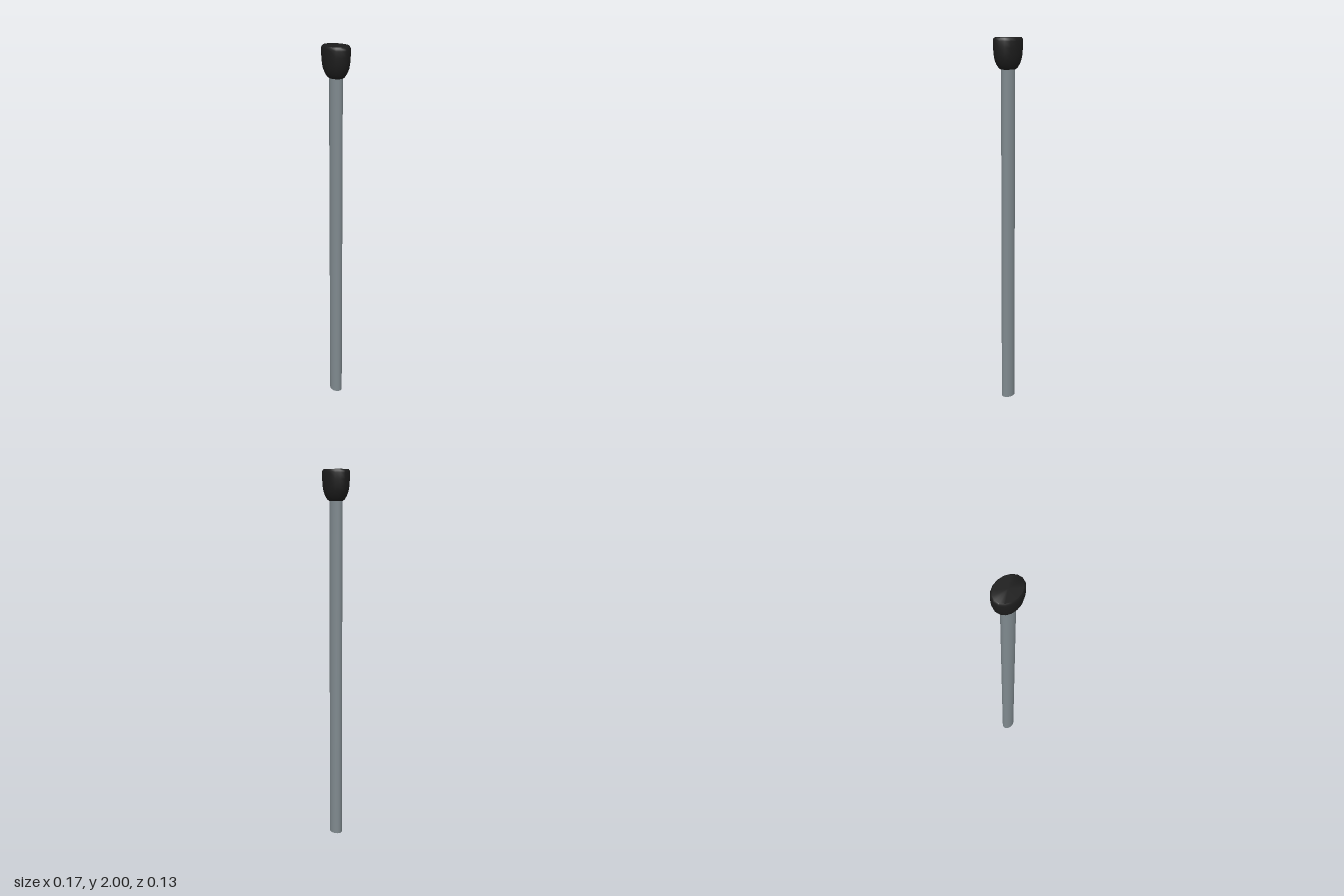
import * as THREE from 'three';
import { toCreasedNormals } from 'three/addons/utils/BufferGeometryUtils.js';

const SIDES = 16;
const FLATTEN = 0.765; // oval section: depth relative to width

export function createModel() {
  const group = new THREE.Group();

  function addPart(name, geometry, color, crease) {
    geometry.scale(1, 1, FLATTEN);
    const material = new THREE.MeshStandardMaterial({ color });
    const mesh = new THREE.Mesh(toCreasedNormals(geometry, crease), material);
    mesh.name = name;
    group.add(mesh);
  }

  // Straight oval shaft, closed at the bottom and running up into the knob
  const shaft = new THREE.CylinderGeometry(0.04, 0.04, 1.86, SIDES);
  shaft.translate(0, 0.93, 0);
  addPart('shaft', shaft, 0x7f898e, 0.8);

  // Rounded cup-shaped knob with a flat, softly bevelled top
  const profile = [
    [0, 1.841], [0.038, 1.841], [0.052, 1.848], [0.066, 1.867], [0.076, 1.89],
    [0.081, 1.915], [0.084, 1.95], [0.085, 1.982], [0.083, 1.993], [0.077, 2], [0, 2],
  ].map(([r, y]) => new THREE.Vector2(r, y));
  addPart('knob', new THREE.LatheGeometry(profile, SIDES), 0x1c1c1c, 0.9);

  return group;
}
